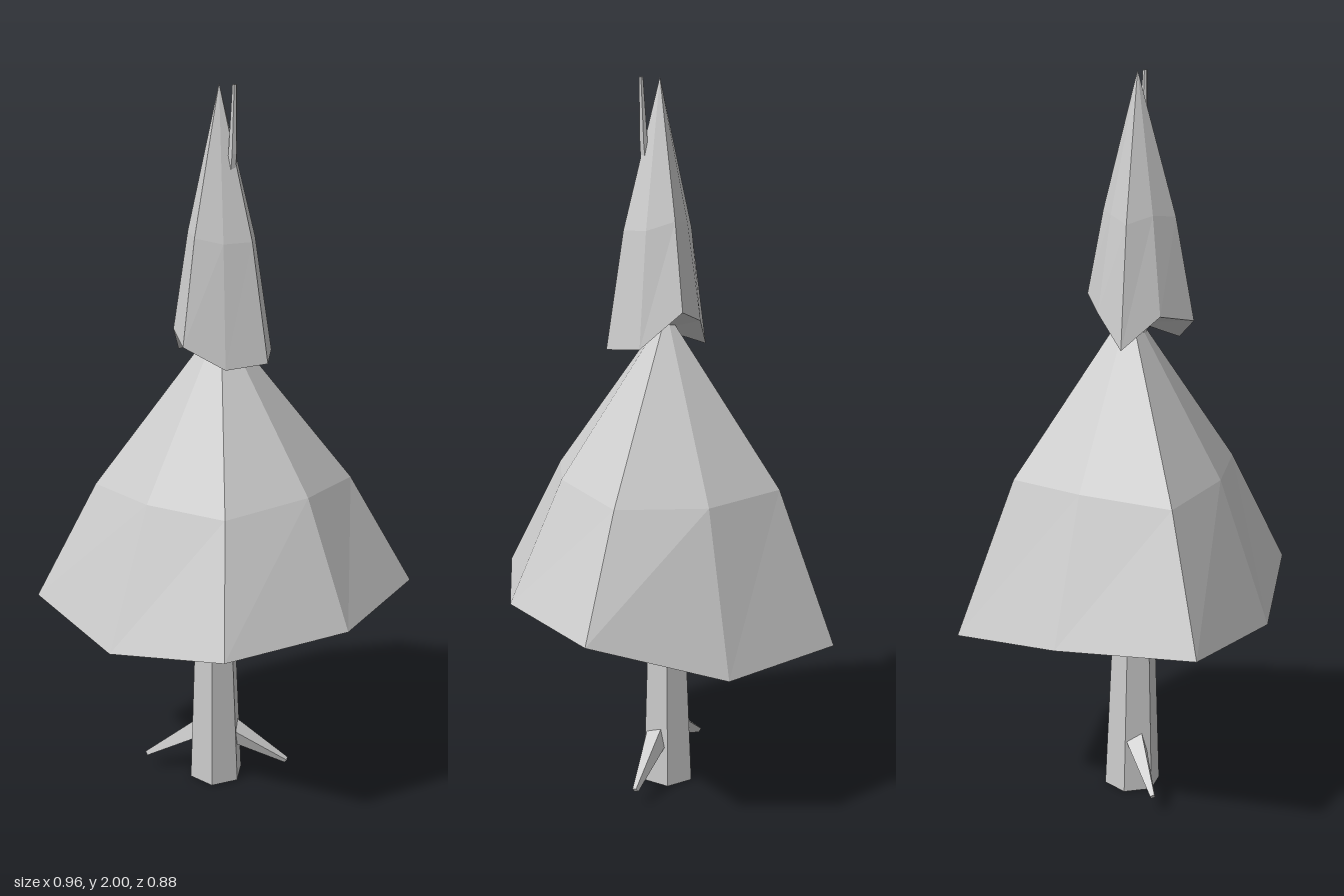
import * as THREE from 'three';

const bark = new THREE.MeshStandardMaterial({ color: 0xcccccc, flatShading: true });
bark.name = 'plain grey';

// Closed solid from stacked rings (bottom to top), capped by a bottom and a top centre point
function loft(rings, bottom, top) {
  const pos = [];
  const tri = (...pts) => pts.forEach((p) => pos.push(...p));
  const n = rings[0].length;
  const last = rings[rings.length - 1];
  for (let i = 0; i < n; i++) {
    const j = (i + 1) % n;
    tri(rings[0][i], rings[0][j], bottom);
    for (let k = 0; k < rings.length - 1; k++) {
      const lo = rings[k], hi = rings[k + 1];
      tri(lo[j], lo[i], hi[i]);
      tri(lo[j], hi[i], hi[j]);
    }
    tri(last[j], last[i], top);
  }
  const geo = new THREE.BufferGeometry();
  geo.setAttribute('position', new THREE.Float32BufferAttribute(pos, 3));
  geo.computeVertexNormals();
  return geo;
}

function add(group, name, geo) {
  const mesh = new THREE.Mesh(geo, bark);
  mesh.name = name;
  group.add(mesh);
  return mesh;
}

export function createModel() {
  const tree = new THREE.Group();
  tree.name = 'tree';

  // Hexagonal trunk, tapering and leaning out near the top: x, y, z, radius
  const path = [
    [-0.012, 0, 0.02, 0.08],
    [-0.012, 0.6, 0.025, 0.056],
    [0, 1.3, 0.03, 0.028],
    [0.05, 1.83, 0.042, 0.012],
    [0.056, 2, 0.045, 0.006],
  ];
  const trunkRings = path.map(([x, y, z, r]) =>
    Array.from({ length: 6 }, (_, i) => {
      const t = (i / 6) * Math.PI * 2 + 0.2;
      return [x + r * Math.cos(t), y, z + r * Math.sin(t)];
    }));
  add(tree, 'trunk', loft(trunkRings, path[0].slice(0, 3), path[4].slice(0, 3)));

  // Wide lower foliage
  const lowerRim = [
    [-0.21, 0.505, -0.44], [0.16, 0.505, -0.415], [0.48, 0.63, -0.225], [0.445, 0.625, 0.145],
    [0.23, 0.62, 0.44], [-0.135, 0.54, 0.4], [-0.48, 0.565, 0.225], [-0.405, 0.55, -0.145],
  ];
  const lowerMid = [
    [-0.14, 0.93, -0.29], [0.11, 0.93, -0.28], [0.32, 0.94, -0.15], [0.3, 0.96, 0.095],
    [0.155, 0.94, 0.29], [-0.09, 0.93, 0.265], [-0.32, 0.91, 0.15], [-0.27, 0.93, -0.095],
  ];
  add(tree, 'lowerFoliage', loft([lowerRim, lowerMid], [-0.01, 0.61, 0.02], [0, 1.39, 0.01]));

  // Slim upper foliage
  const upperRim = [
    [-0.135, 1.285, 0], [-0.05, 1.37, -0.07], [0.05, 1.41, -0.11], [0.13, 1.31, -0.03],
    [0.165, 1.3, 0.065], [0.08, 1.29, 0.14], [-0.02, 1.35, 0.185], [-0.095, 1.37, 0.1],
  ];
  const upperMid = upperRim.map(([x, y, z]) =>
    [0.005 + (x - 0.005) * 0.67, 1.62 + (y - 1.33) * 0.25, 0.03 + (z - 0.03) * 0.67]);
  add(tree, 'upperFoliage', loft([upperRim, upperMid], [0.005, 1.34, 0.03], [0.005, 2, 0.03]));

  // Two drooping stub branches
  const branches = [
    ['leftBranch', [0.03, 0.15, 0.01], [0.18, 0.048, -0.06]],
    ['rightBranch', [-0.05, 0.15, 0.03], [-0.205, 0.048, 0.095]],
  ];
  for (const [name, from, to] of branches) {
    const a = new THREE.Vector3(...from), b = new THREE.Vector3(...to);
    const dir = b.clone().sub(a);
    const mesh = add(tree, name, new THREE.CylinderGeometry(0.009, 0.036, dir.length(), 4));
    mesh.position.copy(a).add(b).multiplyScalar(0.5);
    mesh.quaternion.setFromUnitVectors(new THREE.Vector3(0, 1, 0), dir.normalize());
  }
  return tree;
}
